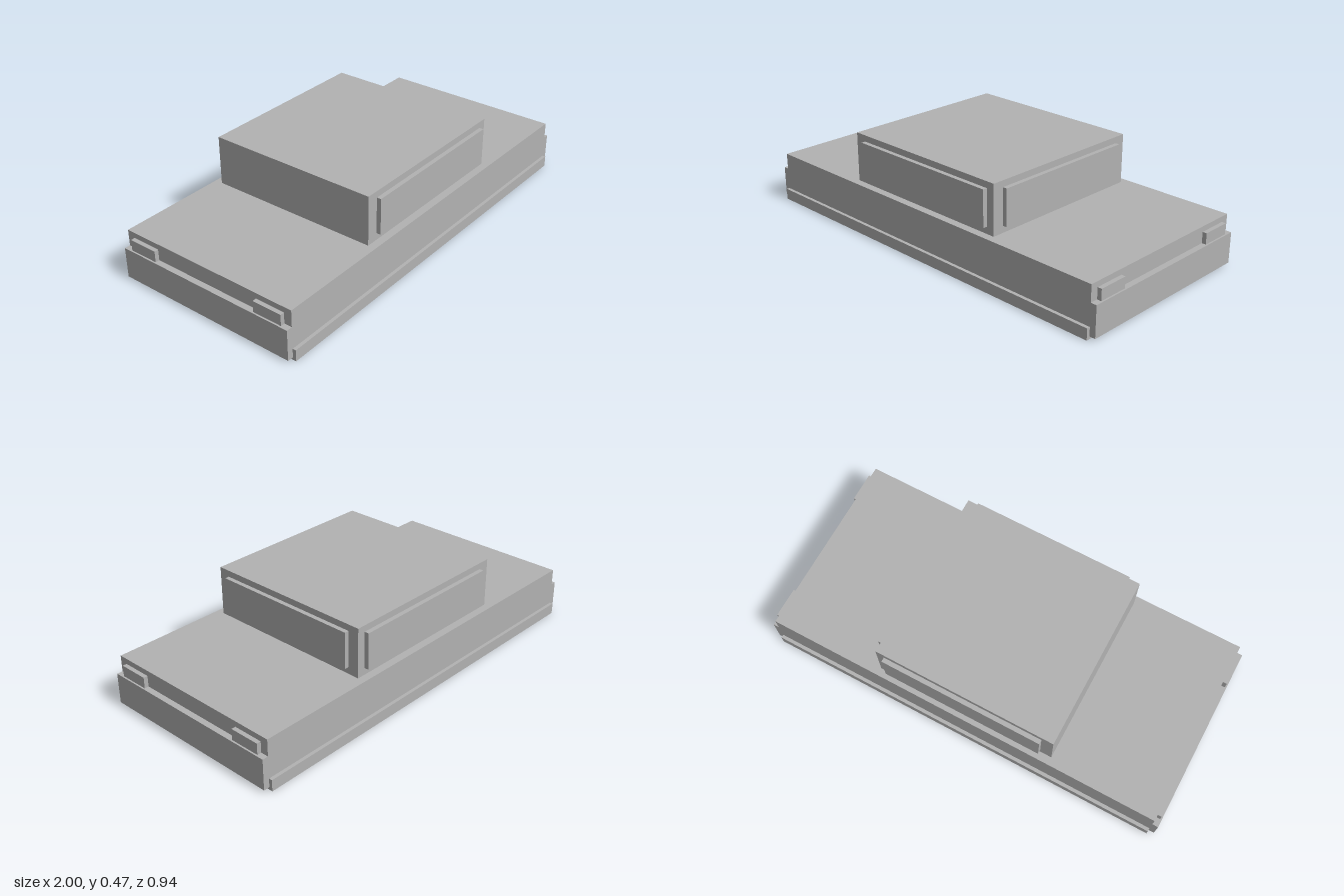
import * as THREE from 'three';

export function createModel() {
  const model = new THREE.Group();
  const grey = new THREE.MeshStandardMaterial({ color: 0xb2b2b2 });
  grey.name = 'plain grey';

  // Box given by its lower and upper limits on each axis
  const box = (name, [x0, x1], [y0, y1], [z0, z1]) => {
    const mesh = new THREE.Mesh(new THREE.BoxGeometry(x1 - x0, y1 - y0, z1 - z0), grey);
    mesh.position.set((x0 + x1) / 2, (y0 + y1) / 2, (z0 + z1) / 2);
    mesh.name = name;
    model.add(mesh);
  };
  // Limits mirrored to the negative side when s is -1
  const side = (s, a, b) => (s > 0 ? [a, b] : [-b, -a]);

  // Main hull, its underside raised above the surrounding rim
  box('hull', [-0.972, 0.972], [0.04, 0.235], [-0.453, 0.453]);
  // Upper cabin, set slightly off centre
  box('cabin', [-0.448, 0.424], [0.235, 0.469], [-0.416, 0.416]);
  box('cabinEndPanel', [0.424, 0.445], [0.268, 0.439], [-0.363, 0.363]);

  for (const s of [1, -1]) {
    const end = s > 0 ? 'left' : 'right';
    const face = s > 0 ? 'front' : 'back';
    box(face + 'CabinPanel', [-0.392, 0.385], [0.268, 0.439], side(s, 0.416, 0.437));
    // Low rail along each long side
    box(face + 'Rail', [-0.972, 0.972], [0, 0.053], side(s, 0.439, 0.469));
    // Bumper across each end, with two blocks above it
    box(end + 'Bumper', side(s, 0.952, 1), [0.012, 0.157], [-0.453, 0.453]);
    for (const t of [1, -1]) {
      box(end + (t > 0 ? 'Front' : 'Back') + 'Lamp',
        side(s, 0.972, 0.992), [0.157, 0.209], side(t, 0.273, 0.416));
    }
  }
  return model;
}
